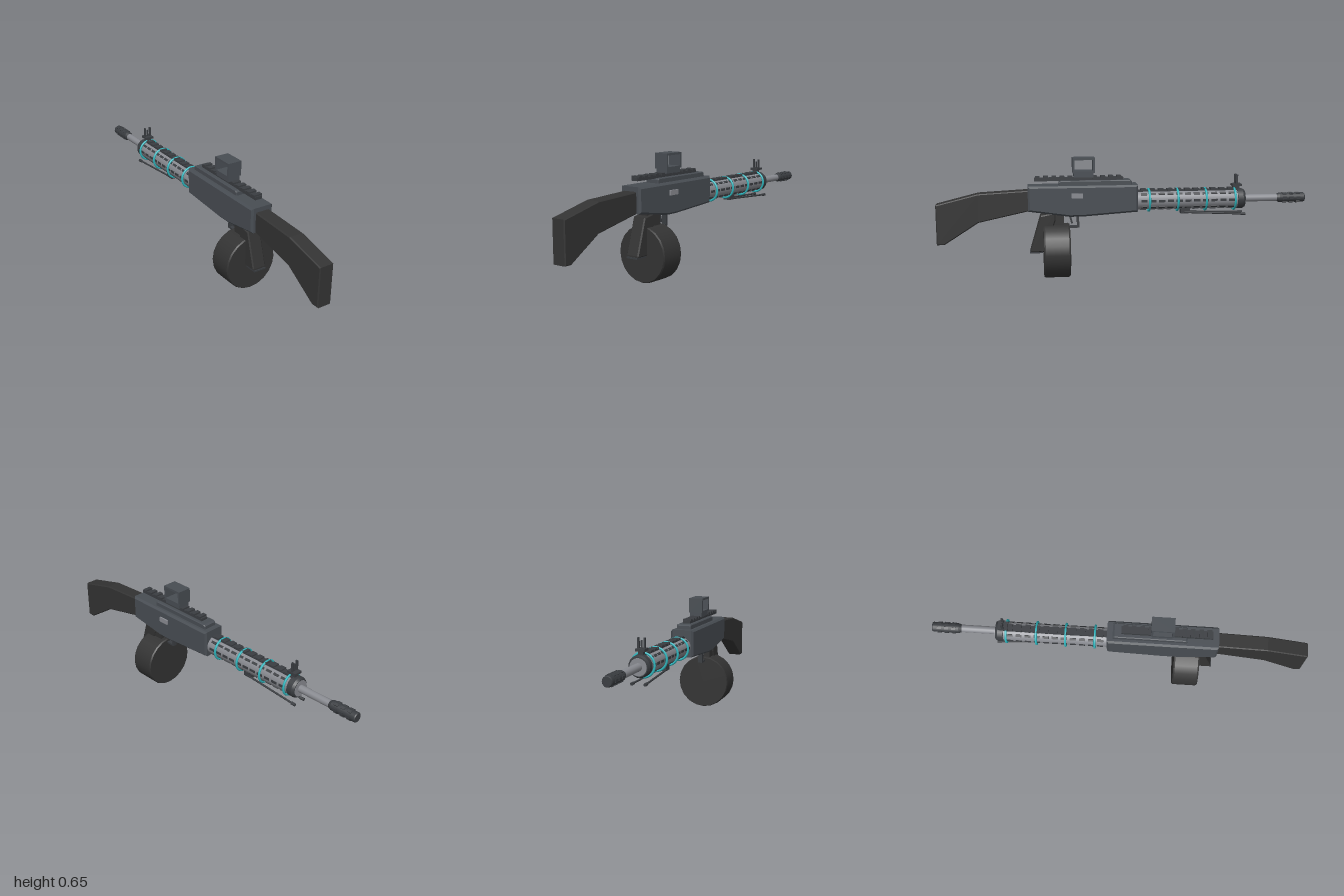
import * as THREE from 'three';

const mat = (name, color, side = THREE.FrontSide) => {
  const m = new THREE.MeshStandardMaterial({ color, side });
  m.name = name;
  return m;
};

export function createModel() {
  const model = new THREE.Group();
  model.name = 'drumFedRifle';

  const black = mat('blackPolymer', 0x333333);
  const steel = mat('blueGreySteel', 0x484d53);
  const dark = mat('darkTrim', 0x3a3d41);
  const silver = mat('lightSteel', 0x888a90);
  const teal = mat('tealBand', 0x2fb5bd);
  const axisY = 0.415; // height of the barrel axis

  const add = (name, geo, material, parent = model) => {
    const m = new THREE.Mesh(geo, material);
    m.name = name;
    parent.add(m);
    return m;
  };
  // Box given by its limits
  const box = (name, material, x0, x1, y0, y1, z0, z1, parent) => {
    const m = add(name, new THREE.BoxGeometry(x1 - x0, y1 - y0, z1 - z0), material, parent);
    m.position.set((x0 + x1) / 2, (y0 + y1) / 2, (z0 + z1) / 2);
    return m;
  };
  // Side profile of (z, y) points, extruded across x with chamfered edges
  const slab = (name, material, pts, half, bevel) => {
    const geo = new THREE.ExtrudeGeometry(new THREE.Shape(pts.map(p => new THREE.Vector2(...p))), {
      depth: 2 * (half - bevel), bevelEnabled: bevel > 0, bevelSegments: 1,
      bevelSize: bevel, bevelThickness: bevel, bevelOffset: -bevel,
    });
    geo.translate(0, 0, -(half - bevel));
    geo.rotateY(-Math.PI / 2);
    return add(name, geo, material);
  };
  // Turned part along z from (radius, z) points; z decreases along the list
  const turned = (name, material, pts, sides, y = axisY) => {
    const group = new THREE.Group();
    group.name = name;
    group.position.y = y;
    model.add(group);
    pts.slice(1).forEach(([r1, z1], i) => {
      const [r0, z0] = pts[i];
      const geo = new THREE.CylinderGeometry(r0, r1, z0 - z1, sides);
      geo.rotateX(Math.PI / 2);
      geo.translate(0, 0, (z0 + z1) / 2);
      add(name + 'Section', geo, material, group);
    });
    return group;
  };
  // Plates spread around the barrel axis
  const ringOfPlates = (name, material, r, size, zs, angles) => {
    const group = new THREE.Group();
    group.name = name;
    group.position.y = axisY;
    model.add(group);
    for (const a of angles) for (const z of zs) {
      const m = add(name + 'Plate', new THREE.BoxGeometry(...size), material, group);
      m.position.set(r * Math.cos(a), r * Math.sin(a), z);
      m.rotation.z = a;
    }
  };

  // Stock and receiver
  slab('stock', black, [[0.50, 0.375], [0.78, 0.315], [0.96, 0.20], [1, 0.20], [1, 0.412],
    [0.78, 0.467], [0.50, 0.482]], 0.04, 0.005);
  slab('receiver', steel, [[-0.065, 0.36], [0.23, 0.34], [0.30, 0.34], [0.52, 0.372], [0.52, 0.505],
    [-0.065, 0.505]], 0.063, 0.01);
  box('ejectionPort', silver, 0.06, 0.072, 0.44, 0.466, 0.23, 0.29);

  // Drum magazine with a narrow chamfer
  turned('drumMagazine', black, [[0.143, 0.44], [0.147, 0.432], [0.147, 0.308], [0.143, 0.30]], 20, 0.15);
  box('magazineWell', black, -0.03, 0.03, 0.27, 0.36, 0.33, 0.43);

  // Grip, trigger and guard
  slab('grip', black, [[0.435, 0.148], [0.51, 0.148], [0.51, 0.158], [0.455, 0.345], [0.375, 0.36],
    [0.375, 0.32]], 0.038, 0.006);
  box('gripCap', dark, -0.034, 0.034, 0.142, 0.15, 0.445, 0.515);
  box('guardFront', dark, -0.012, 0.012, 0.272, 0.35, 0.248, 0.26);
  box('guardBottom', dark, -0.012, 0.012, 0.272, 0.282, 0.248, 0.33);
  const trigger = box('trigger', dark, -0.006, 0.006, 0.295, 0.35, 0.288, 0.298);
  trigger.rotation.x = 0.25;

  // Top cover and accessory rail with teeth
  slab('topCover', steel, [[-0.035, 0.50], [0.355, 0.50], [0.355, 0.523], [0.345, 0.53],
    [-0.025, 0.53], [-0.035, 0.523]], 0.04, 0.004);
  box('railCore', dark, -0.02, 0.02, 0.528, 0.544, 0.01, 0.485);
  for (let i = 0; i < 11; i++) {
    const z = 0.02 + i * 0.0435;
    box('railTooth', dark, -0.024, 0.024, 0.54, 0.552, z, z + 0.024);
  }

  // Sight: a square frame open from side to side
  box('sightBase', steel, -0.034, 0.034, 0.547, 0.572, 0.17, 0.275);
  const frame = new THREE.Shape([[0.163, 0.57], [0.282, 0.57], [0.282, 0.65], [0.163, 0.65]]
    .map(p => new THREE.Vector2(...p)));
  frame.holes.push(new THREE.Path([[0.174, 0.58], [0.174, 0.639], [0.271, 0.639], [0.271, 0.58]]
    .map(p => new THREE.Vector2(...p))));
  const frameGeo = new THREE.ExtrudeGeometry(frame, { depth: 0.078, bevelEnabled: false });
  frameGeo.translate(0, 0, -0.039);
  frameGeo.rotateY(-Math.PI / 2);
  add('sightFrame', frameGeo, steel);

  // Barrel, shroud and end collar
  turned('barrel', silver, [[0.02, -0.62], [0.02, -0.87]], 16);
  turned('shroud', silver, [[0.051, -0.05], [0.051, -0.65]], 24);
  turned('shroudCollar', dark, [[0.055, -0.615], [0.055, -0.645], [0.048, -0.658]], 24);
  turned('collarFace', silver, [[0.043, -0.65], [0.043, -0.66]], 24);

  // Vent slots around the shroud
  const slotZ = Array.from({ length: 11 }, (_, i) => -0.1 - i * 0.048);
  const slotAngles = [0, 1, 3, 4, 5, 6, 7].map(k => k * Math.PI / 4);
  ringOfPlates('ventSlot', dark, 0.05, [0.007, 0.013, 0.033], slotZ, slotAngles);

  // Rail along the top of the shroud
  box('shroudRail', dark, -0.018, 0.018, 0.455, 0.469, -0.62, -0.06);
  for (const z of slotZ) box('shroudRailTooth', dark, -0.02, 0.02, 0.464, 0.476, z - 0.015, z + 0.015);

  // Coloured bands
  for (const z of [-0.13, -0.285, -0.44, -0.6]) {
    const band = add('band', new THREE.TorusGeometry(0.059, 0.006, 8, 28), teal);
    band.position.set(0, axisY, z);
  }

  // Muzzle brake with raised ribs
  turned('muzzleBrake', dark, [[0.02, -0.843], [0.026, -0.858], [0.026, -0.995], [0.023, -1]], 16);
  ringOfPlates('muzzleRib', dark, 0.025, [0.008, 0.014, 0.022], [-0.885, -0.923, -0.961],
    [0, 1, 2, 3, 4, 5].map(k => k * Math.PI / 3));

  // Front sight: foot, centre post and two guard ears
  box('frontSightStem', dark, -0.012, 0.012, 0.465, 0.49, -0.63, -0.595);
  box('frontSightFoot', dark, -0.024, 0.024, 0.485, 0.497, -0.64, -0.588);
  box('frontSightPost', dark, -0.003, 0.003, 0.495, 0.535, -0.618, -0.61);
  for (const s of [-1, 1])
    box('frontSightEar', dark, s * 0.016 - 0.004, s * 0.016 + 0.004, 0.495, 0.548, -0.62, -0.608);

  // Folded bipod
  box('bipodMount', dark, -0.022, 0.022, 0.34, 0.372, -0.355, -0.305);
  for (const s of [-1, 1]) {
    const a = new THREE.Vector3(s * 0.018, 0.346, -0.32);
    const b = new THREE.Vector3(s * 0.034, 0.333, -0.66);
    const tip = a.clone().lerp(b, 0.93);
    add('bipodLeg', new THREE.TubeGeometry(new THREE.LineCurve3(a, b), 1, 0.005, 8), dark);
    const foot = add('bipodFoot', new THREE.CylinderGeometry(0.008, 0.008, tip.distanceTo(b), 8), dark);
    foot.position.copy(tip).lerp(b, 0.5);
    foot.quaternion.setFromUnitVectors(new THREE.Vector3(0, 1, 0), b.clone().sub(tip).normalize());
  }

  return model;
}
